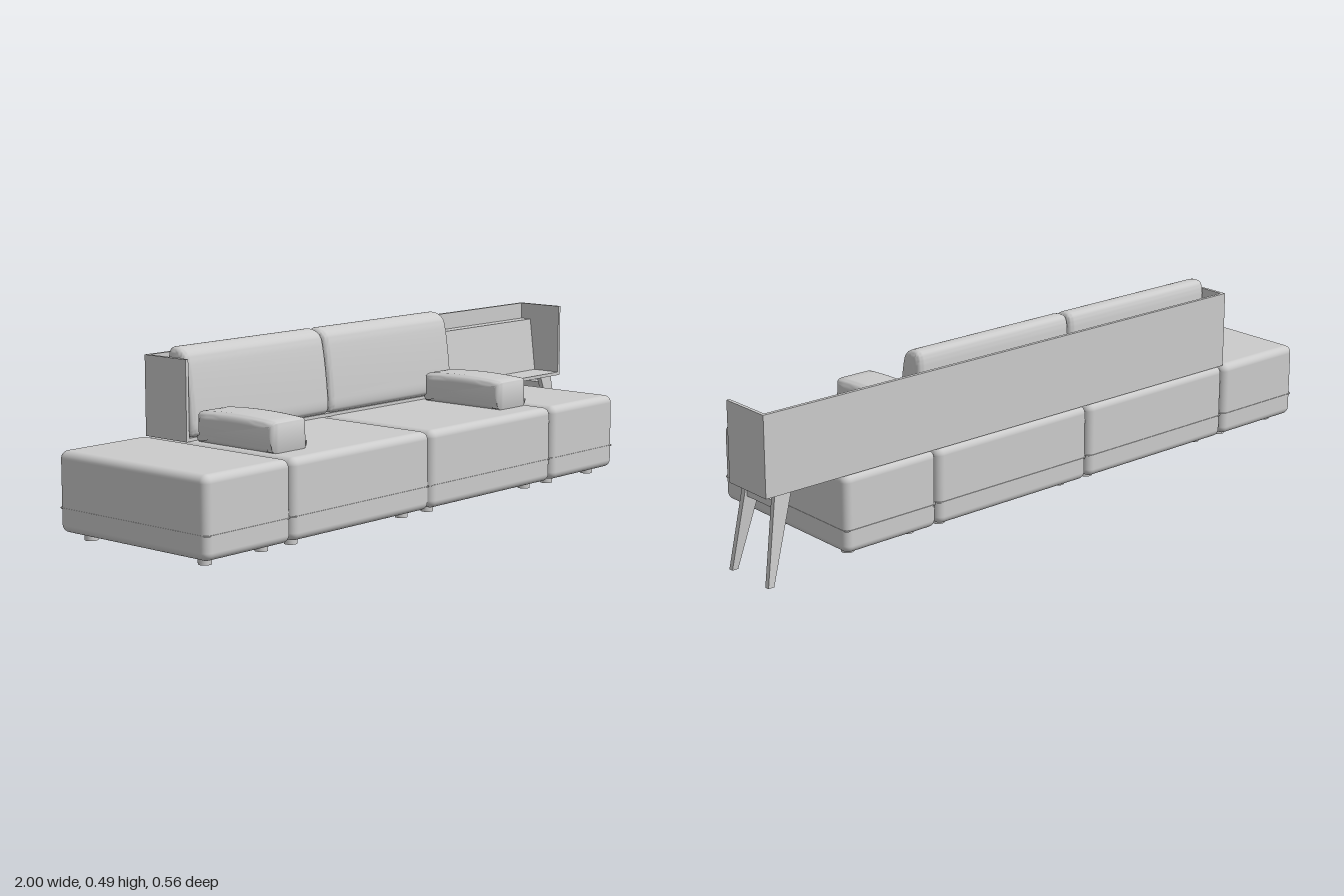
import * as THREE from 'three';
import { RoundedBoxGeometry } from 'three/addons/geometries/RoundedBoxGeometry.js';
import { toCreasedNormals } from 'three/addons/utils/BufferGeometryUtils.js';

const material = new THREE.MeshStandardMaterial({ color: 0xcccccc });

export function createModel() {
  const model = new THREE.Group();

  function add(name, geometry, x = 0, y = 0, z = 0) {
    const mesh = new THREE.Mesh(geometry, material);
    mesh.name = name;
    mesh.position.set(x, y, z);
    model.add(mesh);
    return mesh;
  }

  // Box given by its lower and upper limits
  function box(name, x0, x1, y0, y1, z0, z1) {
    return add(name, new THREE.BoxGeometry(x1 - x0, y1 - y0, z1 - z0),
      (x0 + x1) / 2, (y0 + y1) / 2, (z0 + z1) / 2);
  }

  // Side profile of [z, y] points swept along x, with optional soft ends
  function sweep(name, shape, x0, x1, bevel = 0) {
    const geometry = new THREE.ExtrudeGeometry(shape, {
      depth: x1 - x0 - 2 * bevel, curveSegments: 10,
      bevelEnabled: bevel > 0, bevelSize: bevel, bevelThickness: bevel,
      bevelOffset: -bevel, bevelSegments: 5,
    });
    geometry.translate(0, 0, -(x1 - x0 - 2 * bevel) / 2);
    geometry.rotateY(-Math.PI / 2);
    return add(name, toCreasedNormals(geometry, 0.7), (x0 + x1) / 2);
  }

  // Tapered post from a bottom rectangle to a top rectangle: [x0, x1, z0, z1]
  function taperedLeg(name, bottom, top, height) {
    const geometry = new THREE.BoxGeometry(1, 1, 1).toNonIndexed();
    const p = geometry.attributes.position;
    for (let i = 0; i < p.count; i++) {
      const r = p.getY(i) > 0 ? top : bottom;
      p.setXYZ(i, r[p.getX(i) > 0 ? 1 : 0], p.getY(i) > 0 ? height : 0, r[p.getZ(i) > 0 ? 3 : 2]);
    }
    geometry.computeVertexNormals();
    add(name, geometry);
  }

  // Upholstered seat modules, each with a piped seam and four feet
  const modules = [[-1, -0.688], [-0.685, -0.129], [-0.126, 0.43], [0.433, 0.745]];
  modules.forEach(([x0, x1]) => {
    const cx = (x0 + x1) / 2, w = x1 - x0;
    add('seatModule', new RoundedBoxGeometry(w, 0.221, 0.556, 5, 0.022), cx, 0.1305, 0);

    // Seam piping: a thin rounded ring plate around the module
    const a = w / 2 + 0.001, b = 0.28, r = 0.02;
    const outline = new THREE.Shape();
    outline.moveTo(-a + r, -b).lineTo(a - r, -b).quadraticCurveTo(a, -b, a, -b + r);
    outline.lineTo(a, b - r).quadraticCurveTo(a, b, a - r, b);
    outline.lineTo(-a + r, b).quadraticCurveTo(-a, b, -a, b - r);
    outline.lineTo(-a, -b + r).quadraticCurveTo(-a, -b, -a + r, -b);
    const piping = new THREE.ExtrudeGeometry(outline, { depth: 0.003, bevelEnabled: false, curveSegments: 6 });
    piping.rotateX(-Math.PI / 2);
    add('seamPiping', piping, cx, 0.085, 0);

    for (const sx of [-1, 1]) for (const z of [-0.212, 0.217]) {
      add('foot', new THREE.CylinderGeometry(0.018, 0.018, 0.024, 24),
        cx + sx * (w / 2 - 0.054), 0.012, z);
    }
  });

  // Back cushions, leaning backwards
  const cushion = new THREE.Shape();
  cushion.moveTo(-0.19, 0.25).lineTo(-0.115, 0.25);
  cushion.bezierCurveTo(-0.1, 0.25, -0.096, 0.27, -0.1, 0.3);
  cushion.bezierCurveTo(-0.103, 0.34, -0.112, 0.42, -0.122, 0.46);
  cushion.bezierCurveTo(-0.127, 0.485, -0.155, 0.495, -0.175, 0.493);
  cushion.bezierCurveTo(-0.192, 0.492, -0.196, 0.48, -0.199, 0.455);
  cushion.lineTo(-0.203, 0.265);
  cushion.quadraticCurveTo(-0.203, 0.25, -0.19, 0.25);
  for (const [x0, x1] of [[-0.678, -0.127], [-0.125, 0.426]]) sweep('backCushion', cushion, x0, x1, 0.018);

  // Loose armrests with a crowned top
  const arm = new THREE.Shape();
  arm.moveTo(-0.09, 0.238).lineTo(0.19, 0.238);
  arm.quadraticCurveTo(0.195, 0.238, 0.195, 0.245).lineTo(0.195, 0.312);
  arm.quadraticCurveTo(0.195, 0.323, 0.183, 0.325);
  arm.quadraticCurveTo(0.05, 0.336, -0.083, 0.325);
  arm.quadraticCurveTo(-0.095, 0.323, -0.095, 0.312);
  arm.lineTo(-0.095, 0.245).quadraticCurveTo(-0.095, 0.238, -0.09, 0.238);
  for (const [x0, x1] of [[-0.672, -0.535], [0.28, 0.417]]) sweep('armrest', arm, x0, x1, 0.022);

  // Long open shelf behind the seats
  box('shelfFloor', -0.69, 0.99, 0.24, 0.25, -0.27, -0.11);
  box('shelfBack', -0.69, 0.99, 0.24, 0.465, -0.27, -0.26);
  box('shelfEnd', -0.69, -0.68, 0.24, 0.465, -0.27, -0.11);
  box('shelfEnd', 0.98, 0.99, 0.24, 0.465, -0.27, -0.11);

  // Sloped support inside the shelf for the cushions
  const support = new THREE.Shape([[-0.26, 0.25], [-0.204, 0.25], [-0.224, 0.415], [-0.26, 0.415]]
    .map(([z, y]) => new THREE.Vector2(z, y)));
  sweep('backSupport', support, -0.68, 0.98);

  // Splayed legs and crossbar under the free end of the shelf
  taperedLeg('shelfLeg', [0.982, 1, -0.122, -0.108], [0.905, 0.957, -0.138, -0.122], 0.24);
  taperedLeg('shelfLeg', [0.982, 1, -0.282, -0.268], [0.905, 0.957, -0.262, -0.248], 0.24);
  box('legCrossbar', 0.92, 0.955, 0.201, 0.222, -0.252, -0.133);

  return model;
}
